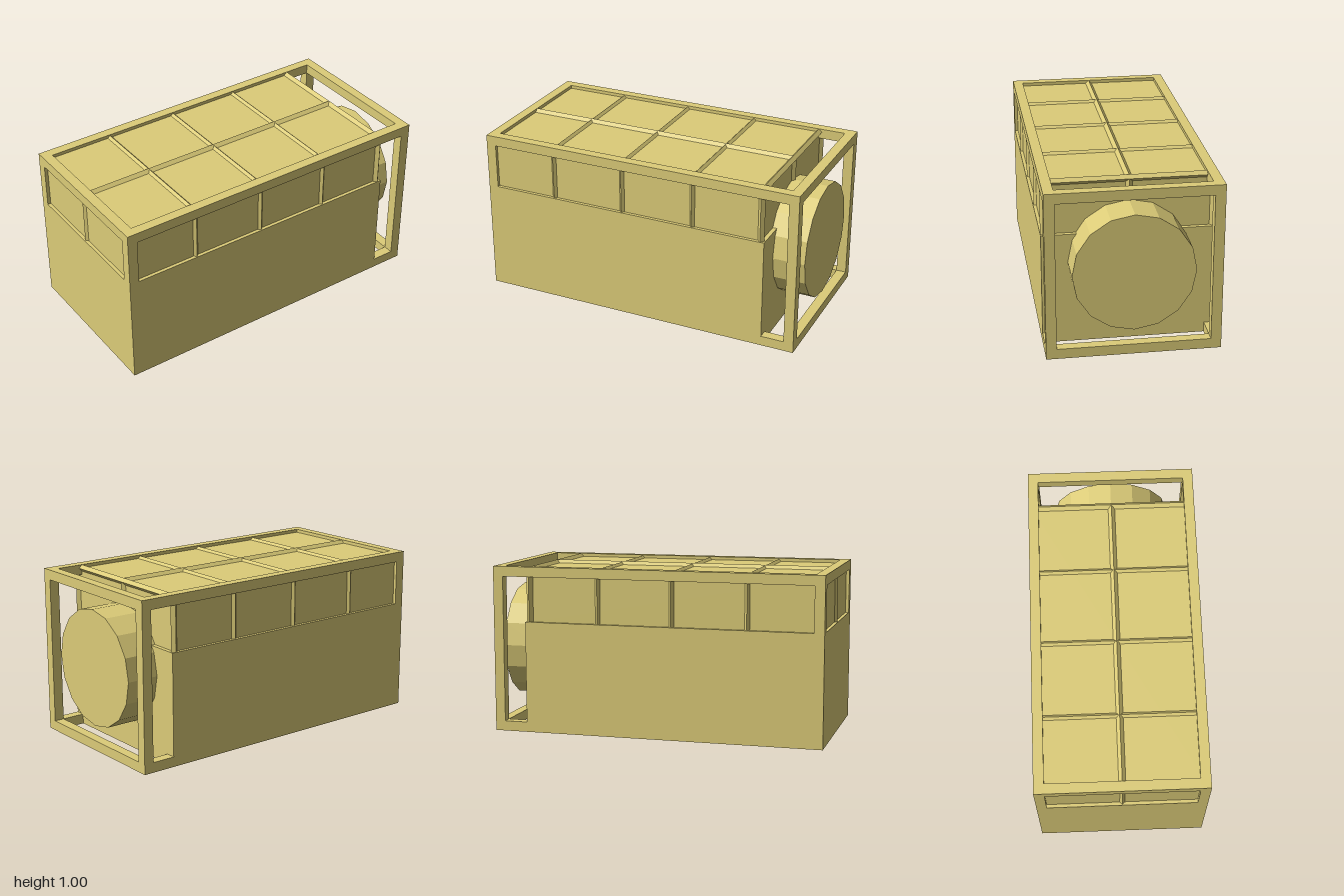
import * as THREE from 'three';

export function createModel() {
  const model = new THREE.Group();
  model.name = 'framedUnit';
  const ochre = new THREE.MeshStandardMaterial({ color: 0xdccc78, flatShading: true });
  ochre.name = 'ochre';

  const add = (name, geometry) => {
    const mesh = new THREE.Mesh(geometry, ochre);
    mesh.name = name;
    model.add(mesh);
    return mesh;
  };
  // Box given by its extents on each axis
  const box = (name, [x0, x1], [y0, y1], [z0, z1]) =>
    add(name, new THREE.BoxGeometry(x1 - x0, y1 - y0, z1 - z0))
      .position.set((x0 + x1) / 2, (y0 + y1) / 2, (z0 + z1) / 2);
  // Diamond-section rib between two points
  const rib = (name, a, b, radius) => {
    const start = new THREE.Vector3(...a), end = new THREE.Vector3(...b);
    const dir = end.clone().sub(start);
    const mesh = add(name, new THREE.CylinderGeometry(radius, radius, dir.length(), 4));
    mesh.position.copy(start).add(end).multiplyScalar(0.5);
    mesh.quaternion.setFromUnitVectors(new THREE.Vector3(0, 1, 0), dir.normalize());
  };

  const T = 0.06, IN = 0.44, TOP = 0.94, SILL = 0.67, WALL = 0.8;
  const END = 0.775, SKIN = 0.98, SIDE = 0.48;

  // Solid lower body and recessed glazed block
  box('lowerBody', [-1, WALL], [0, SILL], [-0.5, 0.5]);
  box('glazedBlock', [-SIDE * 2 - 0.02, END], [SILL, SKIN], [-SIDE, SIDE]);

  // Outer frame
  for (const s of [-1, 1]) {
    const z = s > 0 ? [IN, 0.5] : [-0.5, -IN];
    box('topRail', [-1, 1], [TOP, 1], z);
    box('bottomRail', [WALL, 1], [0, T], z);
    box('openEndPost', [1 - T, 1], [T, TOP], z);
    box('closedEndPost', [-1, -1 + T], [SILL, TOP], z);
  }
  box('openEndTopBar', [1 - T, 1], [TOP, 1], [-IN, IN]);
  box('openEndBottomBar', [1 - T, 1], [0, T], [-IN, IN]);
  box('closedEndTopBar', [-1, -1 + T], [TOP, 1], [-IN, IN]);

  // Ribs dividing the panes, with heavier ones at the open end
  for (const x of [-0.55, -0.1, 0.35, END]) {
    const r = x === END ? 0.02 : 0.015;
    rib('roofRib', [x, SKIN, -SIDE], [x, SKIN, SIDE], r);
    for (const s of [-1, 1]) rib('sideRib', [x, SILL, s * SIDE], [x, SKIN, s * SIDE], r);
  }
  rib('roofRidge', [-0.98, SKIN, 0], [END, SKIN, 0], 0.02);
  rib('closedEndRib', [-0.98, SILL, 0], [-0.98, SKIN, 0], 0.015);
  rib('openEndRib', [END, SILL, 0], [END, SKIN, 0], 0.02);

  // Sixteen-sided drum at the open end
  const drum = add('drum', new THREE.CylinderGeometry(0.35, 0.35, 0.22, 16));
  drum.rotation.z = -Math.PI / 2;
  drum.position.set(0.885, 0.5, 0);

  return model;
}
